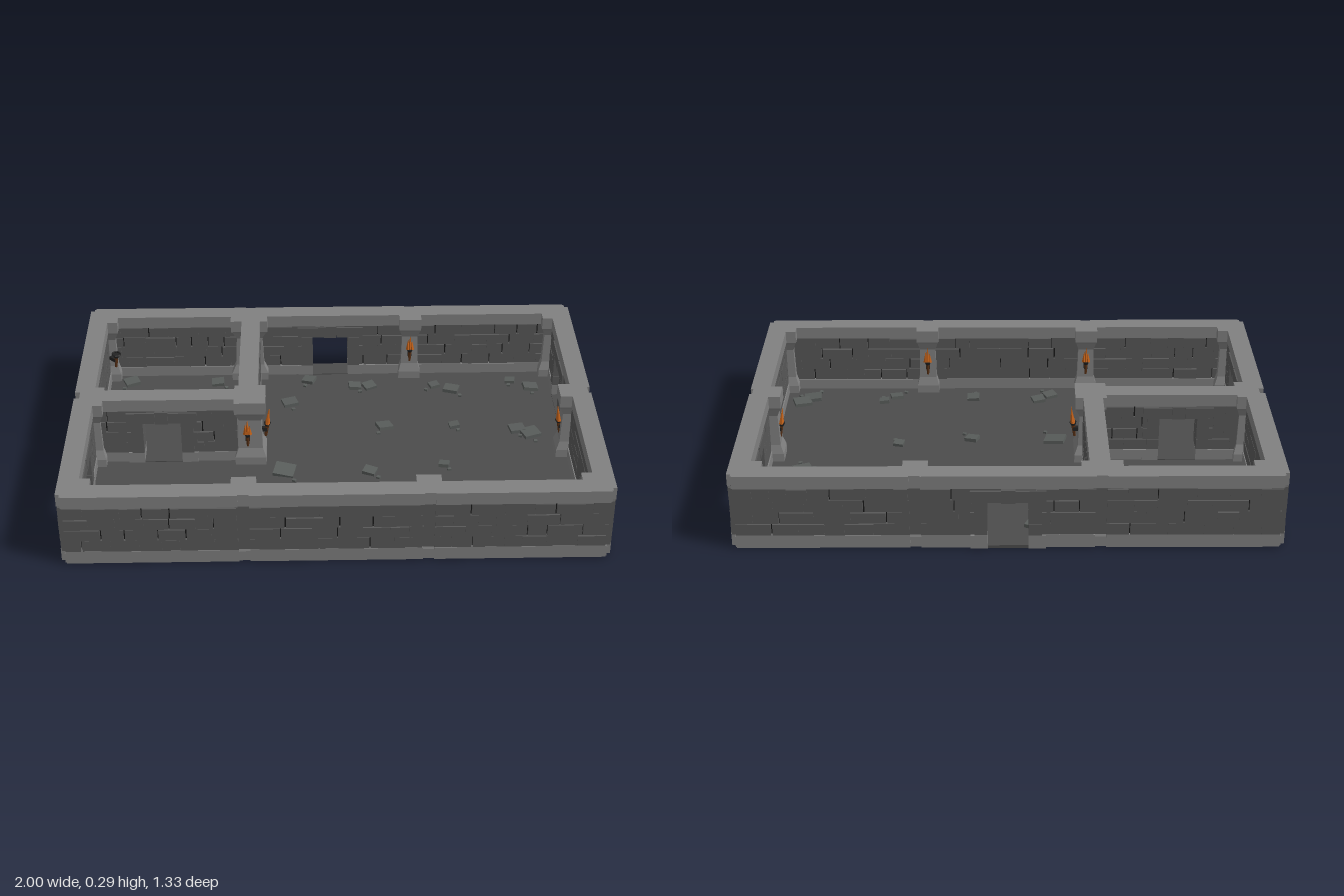
import * as THREE from 'three';
import { mergeGeometries } from 'three/addons/utils/BufferGeometryUtils.js';

const material = (color) => new THREE.MeshStandardMaterial({ color, flatShading: true });
const stone = material(0x808080), brick = material(0x585858), mortar = material(0x181818);
const paving = material(0x4c4c4c), rubble = material(0x585c5a), iron = material(0x222222);
const flame = material(0xc8641a), wood = material(0x5a3216);

const CELL = 0.66, HALF = 0.31, DOOR = 0.075, DOOR_H = 0.19, TOP = 0.295, FLOOR = 0.012;

// small seeded generator
let seed = 7;
const rnd = (a, b) => {
  seed = (seed * 16807) % 2147483647;
  return a + (b - a) * (seed / 2147483647);
};

// box given by its limits
function box(x0, x1, y0, y1, z0, z1) {
  return new THREE.BoxGeometry(x1 - x0, y1 - y0, z1 - z0)
    .translate((x0 + x1) / 2, (y0 + y1) / 2, (z0 + z1) / 2);
}

function add(parent, name, geometry, mat) {
  const mesh = new THREE.Mesh(geometry, mat);
  mesh.name = name;
  parent.add(mesh);
  return mesh;
}

// joints are mostly tight, a few stand open
const joint = () => (rnd(0, 1) < 0.4 ? rnd(0.003, 0.006) : 0.0003);

// one wall bay along local x, outside towards local +z, optionally with a doorway
function wallBay(name, door) {
  const group = new THREE.Group();
  group.name = name;
  const spans = (y) => (door && y < DOOR_H - 0.001 ? [[-HALF, -DOOR], [DOOR, HALF]] : [[-HALF, HALF]]);
  const slab = (list, y0, y1, z0, z1) => {
    for (const [a, b] of spans(y0)) list.push(box(a, b, y0, y1, z0, z1));
  };
  const trim = [], core = [], bricks = [];
  slab(trim, 0.003, 0.055, -0.035, 0.04);
  slab(trim, 0.245, TOP, -0.035, 0.04);
  slab(core, 0.05, DOOR_H, -0.02, 0.028);
  slab(core, DOOR_H, 0.25, -0.02, 0.028);

  // four courses of bricks on both faces
  const rowH = 0.19 / 4;
  for (const [z0, z1] of [[0.027, 0.039], [-0.031, -0.019]]) {
    for (let row = 0; row < 4; row++) {
      const y = 0.055 + row * rowH;
      for (const [a, b] of spans(y)) {
        let x = a;
        while (x < b - 0.001) {
          let end = x + rnd(0.06, 0.14);
          if (b - end < 0.05) end = b;
          const out = rnd(-0.0008, 0.0008);
          bricks.push(box(x, end - joint(), y, y + rowH - joint(), z0 + out, z1 + out));
          x = end;
        }
      }
    }
  }
  add(group, 'baseAndCoping', mergeGeometries(trim), stone);
  add(group, 'wallCore', mergeGeometries(core), mortar);
  add(group, 'bricks', mergeGeometries(bricks), brick);

  // door surround of stacked jamb stones and a three-part lintel
  if (door) {
    const feet = [], frame = [];
    for (const s of [-1, 1]) {
      const stack = (list, w, y0, y1) => {
        const [a, b] = [s * (DOOR - 0.002), s * (DOOR + w)];
        list.push(box(Math.min(a, b), Math.max(a, b), y0, y1, -0.038, 0.047));
      };
      stack(feet, 0.06, 0.003, 0.056);
      stack(frame, 0.045, 0.057, 0.103);
      stack(frame, 0.06, 0.104, 0.15);
      stack(frame, 0.045, 0.151, 0.192);
      frame.push(box(s > 0 ? 0.026 : -0.135, s > 0 ? 0.135 : -0.026, 0.193, 0.238, -0.038, 0.048));
    }
    frame.push(box(-0.025, 0.025, 0.19, 0.243, -0.039, 0.05));
    add(group, 'doorFeet', mergeGeometries(feet), stone);
    add(group, 'doorFrame', mergeGeometries(frame), brick);
    add(group, 'threshold', box(-DOOR, DOOR, 0.003, FLOOR + 0.003, -0.038, 0.045), paving);
  }
  return group;
}

// square post with flared foot and head
function post(x, z, w, d) {
  const profile = [[0, 0.004], [1, 0.004], [1, 0.045], [0.78, 0.08], [0.7, 0.205], [0.9, 0.235],
    [1, 0.245], [1, TOP], [0, TOP]].map(([r, y]) => new THREE.Vector2(r * Math.SQRT1_2, y));
  const mesh = new THREE.Mesh(new THREE.LatheGeometry(profile, 4, Math.PI / 4), stone);
  mesh.name = 'post';
  mesh.scale.set(w, 1, d);
  mesh.position.set(x, 0, z);
  return mesh;
}

// wall torch leaning towards local +z
function torch(lit) {
  const group = new THREE.Group();
  group.name = lit ? 'torch' : 'unlitTorch';
  add(group, 'bracket', box(-0.008, 0.008, 0.115, 0.13, -0.03, 0.006), iron);
  const tilted = new THREE.Group();
  tilted.name = 'torchHead';
  tilted.position.y = 0.09;
  tilted.rotation.x = 0.12;
  group.add(tilted);
  add(tilted, 'handle', new THREE.CylinderGeometry(0.009, 0.005, 0.06, 6).translate(0, 0.03, 0), wood);
  add(tilted, 'cup', new THREE.CylinderGeometry(0.014, 0.009, 0.014, 8).translate(0, 0.055, 0), iron);
  if (lit) {
    for (const [x, h] of [[0, 0.07], [-0.008, 0.05], [0.008, 0.042]]) {
      add(tilted, 'flame', new THREE.ConeGeometry(0.01, h, 5).translate(x, 0.06 + h / 2, 0), flame);
    }
  } else {
    add(tilted, 'ring', new THREE.TorusGeometry(0.016, 0.004, 5, 10).rotateX(Math.PI / 2).translate(0, 0.065, 0), iron);
  }
  return group;
}

export function createModel() {
  const model = new THREE.Group();
  model.name = 'dungeonRooms';
  add(model, 'floor', box(-0.975, 0.975, 0, FLOOR, -0.645, 0.645), paving);

  // wall bays: name, x, z, turn, doorway
  const bays = [];
  for (const i of [-1, 0, 1]) {
    bays.push(['frontWall', i * CELL, 0.62, 0, false]);
    bays.push(['backWall', i * CELL, -0.62, Math.PI, i === 0]);
  }
  for (const s of [-1, 1]) {
    bays.push(['leftWall', 0.95, s * 0.33, Math.PI / 2, s < 0]);
    bays.push(['rightWall', -0.95, s * 0.33, -Math.PI / 2, s > 0]);
  }
  bays.push(['innerCrossWall', -CELL, 0, 0, true], ['innerLongWall', -0.33, -0.33, Math.PI / 2, false]);
  for (const [name, x, z, turn, door] of bays) {
    const bay = wallBay(name, door);
    bay.position.set(x, 0, z);
    bay.rotation.y = turn;
    model.add(bay);
  }

  // recessed piers between bays and at the corners, faced with darker stone below the coping
  const piers = [], facings = [];
  const pier = (x, z, w, d, out) => {
    piers.push(box(x - w, x + w, 0.003, TOP, z - d, z + d));
    const [dx, dz] = out;
    facings.push(box(-w, w, 0.055, 0.247, -d, d).translate(x + dx * 0.014, 0, z + dz * 0.014));
  };
  for (const s of [-1, 1]) {
    for (const x of [-0.33, 0.33]) pier(x, s * 0.6125, 0.03, 0.0275, [0, s]);
    pier(s * 0.9425, 0, 0.0275, 0.03, [s, 0]);
    for (const t of [-1, 1]) pier(s * 0.9425, t * 0.6125, 0.0275, 0.0275, [s, t]);
  }
  piers.push(box(-0.37, -0.29, 0.003, TOP, -0.04, 0.04));
  add(model, 'piers', mergeGeometries(piers), stone);
  add(model, 'pierFacings', mergeGeometries(facings), brick);

  // posts along the walls, in the corners and at the inner wall end
  const posts = [
    [0.33, -0.6, 0.09, 0.11], [0.33, 0.6, 0.09, 0.11], [-0.33, 0.6, 0.09, 0.11], [0.925, 0, 0.11, 0.09],
    [-0.32, 0.005, 0.12, 0.13], [-0.335, -0.6, 0.15, 0.11], [-0.925, 0.01, 0.09, 0.13],
  ];
  for (const sx of [-1, 1]) for (const sz of [-1, 1]) posts.push([sx * 0.925, sz * 0.6, 0.1, 0.11]);
  for (const p of posts) model.add(post(...p));

  // torches: x, z, turn, lit
  const torches = [
    [0.33, -0.545, 0, true], [0.33, 0.545, Math.PI, true], [-0.33, 0.545, Math.PI, true],
    [0.885, 0, -Math.PI / 2, true], [-0.262, 0, Math.PI / 2, true], [-0.33, 0.068, 0, true],
    [-0.89, -0.52, Math.PI / 4, false],
  ];
  for (const [x, z, turn, lit] of torches) {
    const t = torch(lit);
    t.position.set(x, 0.01, z);
    t.rotation.y = turn;
    model.add(t);
  }

  // loose slabs on the floor, each with a small chip beside it: x, z, size
  const slabs = [
    [-0.83, -0.53, 0.06], [-0.47, -0.52, 0.05], [-0.63, -0.38, 0.03], [-0.84, -0.18, 0.07], [-0.8, -0.2, 0.05],
    [-0.45, -0.19, 0.08], [-0.17, -0.36, 0.06], [-0.09, -0.53, 0.05], [0.1, -0.48, 0.05], [0.16, -0.48, 0.05],
    [0.21, -0.18, 0.06], [0.43, -0.48, 0.04], [0.5, -0.45, 0.06], [0.75, -0.51, 0.04], [0.83, -0.46, 0.06],
    [0.49, -0.18, 0.04], [0.74, -0.15, 0.06], [0.79, -0.12, 0.07], [-0.19, 0.12, 0.08], [0.14, 0.13, 0.05],
    [0.43, 0.09, 0.04], [-0.75, 0.45, 0.05], [-0.59, 0.49, 0.04], [-0.49, 0.46, 0.06], [-0.45, 0.51, 0.07],
    [-0.18, 0.51, 0.05], [-0.13, 0.47, 0.05], [0.14, 0.49, 0.05], [0.46, 0.5, 0.05], [0.51, 0.46, 0.04],
    [0.81, 0.49, 0.07], [0.85, 0.45, 0.07],
  ];
  const loose = (name, x, z, size, h) => {
    const mesh = add(model, name, new THREE.BoxGeometry(size, h, size * 0.9), rubble);
    mesh.position.set(x, FLOOR + h * 0.5, z);
    mesh.rotation.set(rnd(-0.12, 0.12), rnd(-0.5, 0.5), rnd(-0.12, 0.12));
  };
  for (const [x, z, size] of slabs) {
    loose('looseSlab', x, z, size, 0.014);
    loose('stoneChip', x + rnd(-0.04, 0.04), z + size * 0.8, 0.014, 0.008);
  }
  return model;
}
